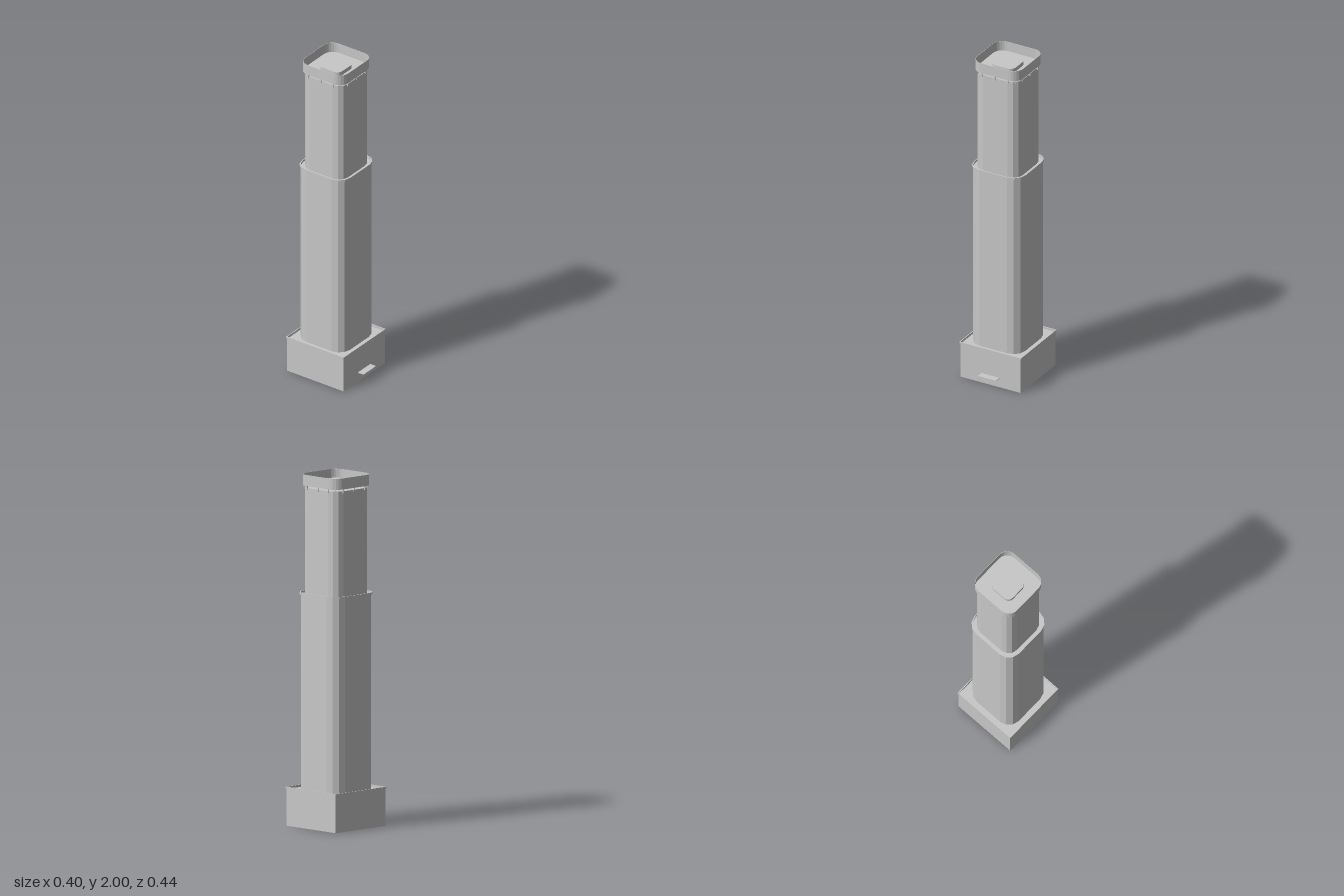
import * as THREE from 'three';

// Corner points of a rounded square
function outline(half, radius, segments) {
  const points = [];
  for (let c = 0; c < 4; c++) {
    const start = c * Math.PI / 2;
    const cx = (c === 0 || c === 3 ? 1 : -1) * (half - radius);
    const cy = (c < 2 ? 1 : -1) * (half - radius);
    for (let i = 0; i <= segments; i++) {
      const a = start + (i / segments) * Math.PI / 2;
      points.push(new THREE.Vector2(cx + radius * Math.cos(a), cy + radius * Math.sin(a)));
    }
  }
  return points;
}

function square(half) {
  return [[1, 1], [-1, 1], [-1, -1], [1, -1]].map(([x, y]) => new THREE.Vector2(x * half, y * half));
}

function ringShape(outer, inner) {
  const shape = new THREE.Shape(outer);
  if (inner) shape.holes.push(new THREE.Path(inner));
  return shape;
}

// Upright prism between two heights, hollow when an inner outline is given
function prism(outer, y0, y1, inner) {
  const g = new THREE.ExtrudeGeometry(ringShape(outer, inner), { depth: y1 - y0, bevelEnabled: false });
  return g.rotateX(-Math.PI / 2).translate(0, y0, 0);
}

// Flat ring facing down
function soffit(outer, y, inner) {
  return new THREE.ShapeGeometry(ringShape(outer, inner)).rotateX(Math.PI / 2).translate(0, y, 0);
}

export function createModel() {
  const model = new THREE.Group();
  model.name = 'tower';
  const building = new THREE.Group();
  building.name = 'building';
  building.position.z = -0.019;
  model.add(building);

  const grey = new THREE.MeshStandardMaterial({ color: 0xc8c8c8 });
  grey.name = 'concrete grey';

  function add(name, geometry) {
    const mesh = new THREE.Mesh(geometry, grey);
    mesh.name = name;
    building.add(mesh);
    return mesh;
  }

  // Hollow podium, open underneath, with a recessed deck and a parapet cap
  add('podiumWalls', prism(square(0.196), 0, 0.212, square(0.194)));
  add('podiumDeck', prism(square(0.195), 0.204, 0.209));
  add('podiumParapet', prism(square(0.2), 0.212, 0.222, square(0.195)));

  // Entrance canopy
  add('entranceCanopy', new THREE.BoxGeometry(0.117, 0.003, 0.042)).position.set(0, 0.058, 0.215);

  // Lower and upper shafts
  const lower = outline(0.163, 0.074, 3);
  const upper = outline(0.142, 0.062, 3);
  add('lowerShaft', prism(lower, 0.208, 1.318));
  add('upperShaft', prism(upper, 1.317, 1.925));

  // Parapet around the setback
  add('setbackParapet', prism(outline(0.168, 0.076, 3), 1.318, 1.33, outline(0.1625, 0.073, 3)));

  // Thin shadow ledges at each floor of both shafts
  const lowerLedge = outline(0.166, 0.075, 3);
  const upperLedge = outline(0.145, 0.063, 3);
  for (let i = 0; i < 10; i++) {
    add('lowerFloorLedge', soffit(lowerLedge, 0.308 + i * 0.101, lower));
  }
  for (let i = 0; i < 5; i++) {
    add('upperFloorLedge', soffit(upperLedge, 1.418 + i * 0.101, upper));
  }

  // Crown with a floor, raised on small brackets above the shaft
  add('crownWall', prism(outline(0.15, 0.062, 6), 1.937, 2, outline(0.148, 0.06, 6)));
  add('crownFloor', prism(outline(0.149, 0.061, 6), 1.937, 1.941));
  const bracket = new THREE.BoxGeometry(0.004, 0.025, 0.006);
  for (let side = 0; side < 4; side++) {
    const a = side * Math.PI / 2;
    for (const offset of [-0.085, 0, 0.085]) {
      const mesh = add('crownBracket', bracket);
      mesh.position.set(
        0.143 * Math.sin(a) + offset * Math.cos(a),
        1.926,
        0.143 * Math.cos(a) - offset * Math.sin(a));
      mesh.rotation.y = a;
    }
    // Diagonal corner bracket
    const d = a + Math.PI / 4;
    const corner = add('cornerBracket', bracket);
    corner.position.set(0.175 * Math.sin(d), 1.926, 0.175 * Math.cos(d));
    corner.rotation.y = d;
  }

  // Rooftop core
  add('roofCore', prism(outline(0.073, 0.035, 6), 1.94, 1.965));

  return model;
}
